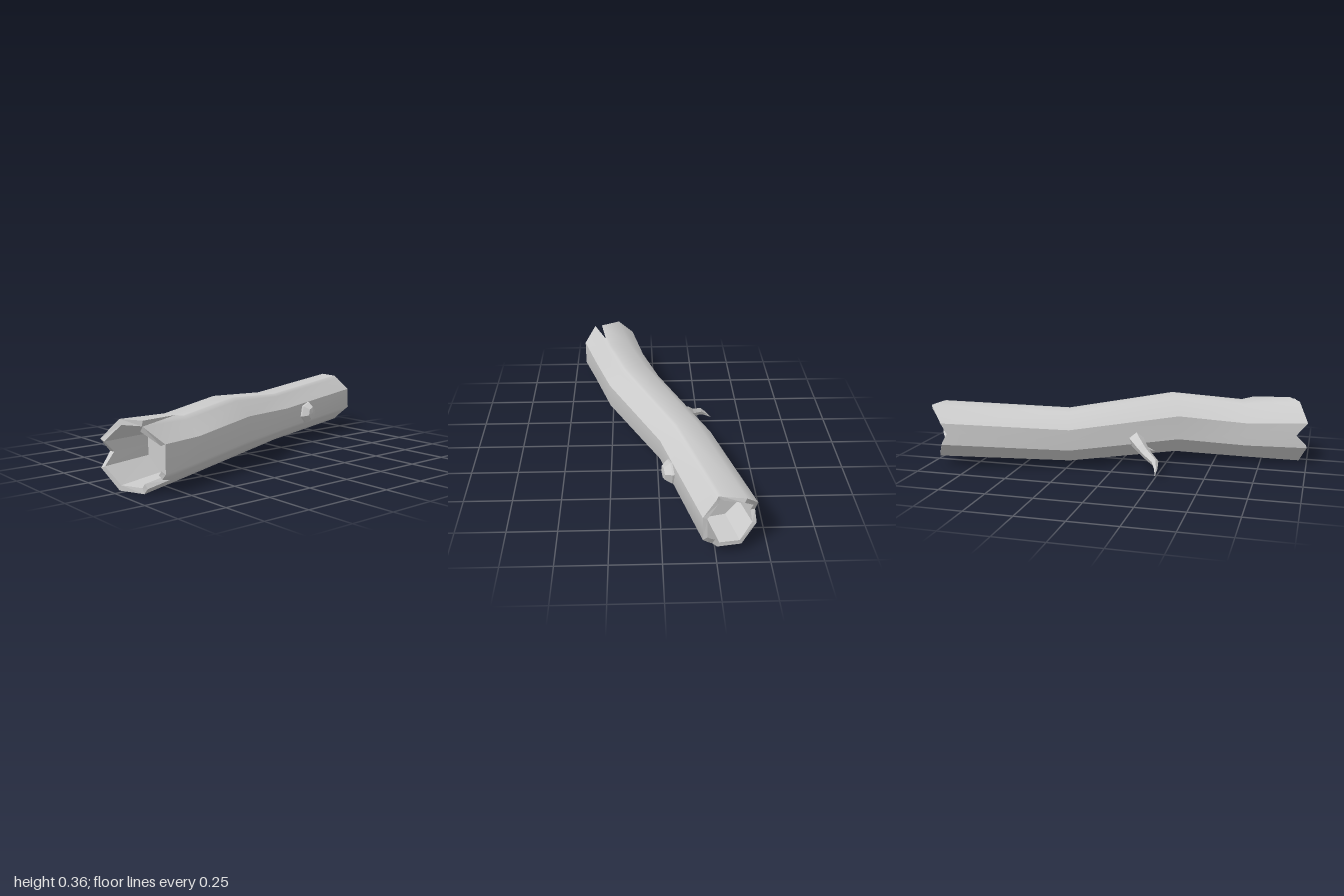
import * as THREE from 'three';

const mat = () => new THREE.MeshStandardMaterial({ color: 0xcccccc });
const rad = THREE.MathUtils.degToRad;

// Columns around the trunk: [angle from the front, jag at left end, jag at right end]
const columns = [
  [22.5, -0.04, 0.02], [60, 0.02, 0], [67.5, -0.22, -0.01], [73, -0.02, 0],
  [112.5, 0.01, 0.04], [157.5, 0.04, -0.02], [180, -0.02, -0.05], [202.5, 0.04, -0.02],
  [247.5, 0.02, 0.01], [292.5, 0, 0], [306, 0.01, 0], [315, -0.12, 0.01],
  [324, -0.05, 0.02], [337.5, -0.04, 0.03], [382.5, -0.04, 0.02],
];

// Trunk sections: back (x, z), front (x, z), lowest and highest y
const sections = [
  [-0.96, 0.12, -0.88, 0.44, 0.0, 0.335],
  [-0.68, 0.065, -0.6, 0.36, 0.02, 0.32],
  [-0.32, -0.02, -0.21, 0.26, 0.05, 0.36],
  [0.22, -0.28, 0.3, -0.01, 0.03, 0.3],
  [0.901, -0.446, 0.969, -0.174, 0.055, 0.338],
];

// One octagonal ring, scaled and shifted along the trunk axis
function ring([bx, bz, fx, fz, y0, y1], scale = 1, shift = () => 0) {
  return columns.map((col) => {
    const a = col[0];
    const k = scale / Math.cos(rad(a - 45 * Math.round(a / 45)));
    const u = Math.cos(rad(a)) * k / 2, v = Math.sin(rad(a)) * k / 2;
    const s = shift(col);
    return new THREE.Vector3(
      (bx + fx) / 2 + u * (fx - bx) + s * 0.97,
      (y0 + y1) / 2 + v * (y1 - y0),
      (bz + fz) / 2 + u * (fz - bz) - s * 0.24,
    );
  });
}

// Skin a grid of points between columns j0 and j1
function skin(rows, j0, j1, flat) {
  const pos = [], idx = [], w = j1 - j0 + 1;
  rows.forEach((row, i) => {
    for (let j = 0; j < w; j++) {
      pos.push(...row[j0 + j].toArray());
      if (i < rows.length - 1 && j < w - 1) {
        const a = i * w + j, b = a + w;
        idx.push(a, b, b + 1, a, b + 1, a + 1);
      }
    }
  });
  let geo = new THREE.BufferGeometry();
  geo.setAttribute('position', new THREE.Float32BufferAttribute(pos, 3));
  geo.setIndex(idx);
  if (flat) geo = geo.toNonIndexed();
  geo.computeVertexNormals();
  return geo;
}

// Tapered five-sided twig along a path, ending in a point
function twig(name, points, radii) {
  const curve = new THREE.CatmullRomCurve3(points.map((p) => new THREE.Vector3(...p)));
  const n = 8, sides = 5;
  const geo = new THREE.TubeGeometry(curve, n, 1, sides);
  const p = geo.attributes.position, v = new THREE.Vector3();
  for (let i = 0; i <= n; i++) {
    const c = curve.getPointAt(i / n);
    const f = (i / n) * (radii.length - 1), k = Math.min(Math.floor(f), radii.length - 2);
    const r = THREE.MathUtils.lerp(radii[k], radii[k + 1], f - k);
    for (let j = 0; j <= sides; j++) {
      const q = i * (sides + 1) + j;
      v.fromBufferAttribute(p, q).sub(c).multiplyScalar(r).add(c);
      p.setXYZ(q, v.x, v.y, v.z);
    }
  }
  const flat = geo.toNonIndexed();
  flat.computeVertexNormals();
  const mesh = new THREE.Mesh(flat, mat());
  mesh.name = name;
  return mesh;
}

export function createModel() {
  const model = new THREE.Group();
  model.name = 'hollowLog';
  const add = (name, geo) => {
    const mesh = new THREE.Mesh(geo, mat());
    mesh.name = name;
    model.add(mesh);
    return mesh;
  };
  const last = columns.length - 1;
  const left = (c) => -c[1], right = (c) => c[2];
  const [s0, s1, s2, s3, s4] = sections;
  const outer = [ring(s0, 1, left), ring(s1), ring(s2), ring(s3), ring(s4, 1, right)];

  // Bark in smooth strips with hard edges between them
  [[0, 5], [5, 7], [7, 8], [8, last]].forEach(([a, b]) => add('bark', skin(outer, a, b, false)));

  // Hollow ends: floor, inner wall and broken rim
  const leftInner = ring(s0, 0.84, left), rightInner = ring(s4, 0.84, right);
  const floorL = () => 0.24, floorR = () => -0.19;
  add('leftHollow', skin([ring(s0, 0, floorL), ring(s0, 0.78, floorL), leftInner, outer[0]], 0, last, true));
  add('rightHollow', skin([outer[4], rightInner, ring(s4, 0.82, floorR), ring(s4, 0, floorR)], 0, last, true));

  // Curved twig at the back with a small spur
  model.add(twig('backTwig', [
    [-0.08, 0.16, -0.07], [-0.135, 0.135, -0.16], [-0.19, 0.095, -0.21], [-0.245, 0.07, -0.265], [-0.257, 0.022, -0.33],
  ], [0.05, 0.038, 0.027, 0.02, 0]));
  model.add(twig('twigSpur', [[-0.15, 0.12, -0.17], [-0.185, 0.11, -0.15], [-0.215, 0.1, -0.14]], [0.016, 0.01, 0]));

  // Broken branch stub at the front
  const stubGeo = new THREE.LatheGeometry([
    [0.07, -0.06], [0.062, 0.025], [0.036, 0.058], [0, 0.062],
  ].map((p) => new THREE.Vector2(...p)), 6).toNonIndexed();
  stubGeo.computeVertexNormals();
  const stub = add('branchStub', stubGeo);
  stub.position.set(0.5, 0.17, -0.075);
  stub.quaternion.setFromUnitVectors(new THREE.Vector3(0, 1, 0), new THREE.Vector3(0.24, 0, 0.97).normalize());
  return model;
}
